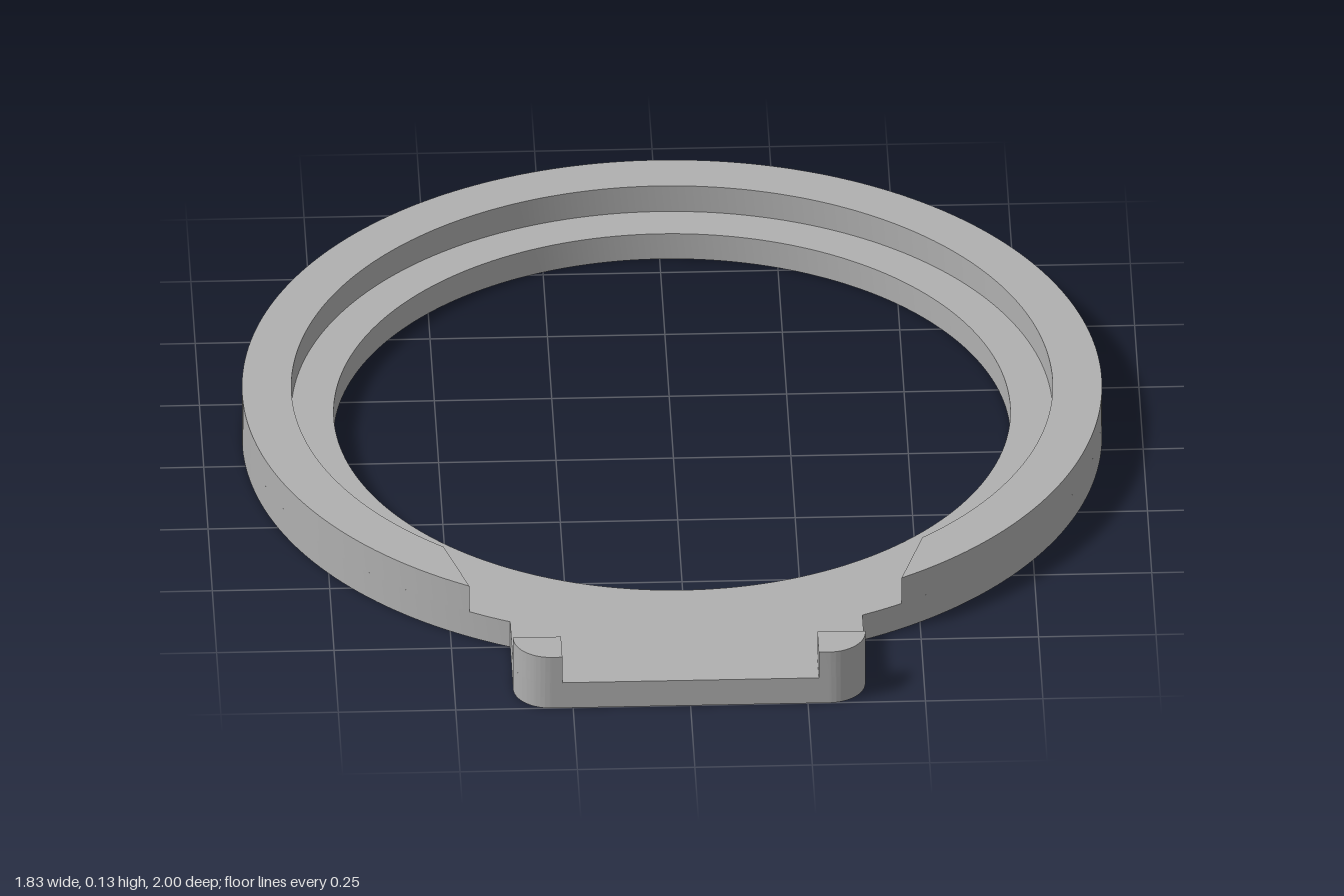
import * as THREE from 'three';
import { toCreasedNormals } from 'three/addons/utils/BufferGeometryUtils.js';

const CZ = -0.085;          // ring centre along z
const R_OUT = 0.915, R_RIM = 0.81, R_HOLE = 0.72;
const BASE_H = 0.063, FULL_H = 0.127;
const TAB_X = 0.375, TAB_Z = 1, CORNER = 0.08;

// Extrude a plan outline (shape y = world z) between two heights
function slab(shape, y0, y1, curveSegments) {
  const geo = new THREE.ExtrudeGeometry(shape, { depth: y1 - y0, bevelEnabled: false, curveSegments });
  geo.rotateX(Math.PI / 2);
  geo.translate(0, y1, 0);
  return toCreasedNormals(geo, Math.PI / 6);
}

export function createModel() {
  const group = new THREE.Group();
  const grey = new THREE.MeshStandardMaterial({ color: 0xb0b0b0 });
  grey.name = 'grey';
  const add = (name, geo) => {
    const mesh = new THREE.Mesh(geo, grey);
    mesh.name = name;
    group.add(mesh);
  };

  // Flat ring with a rounded front tab
  const a = Math.acos(TAB_X / R_OUT);
  const base = new THREE.Shape();
  base.absarc(0, CZ, R_OUT, Math.PI - a, 2 * Math.PI + a, false);
  base.lineTo(TAB_X, TAB_Z - CORNER);
  base.absarc(TAB_X - CORNER, TAB_Z - CORNER, CORNER, 0, Math.PI / 2, false);
  base.absarc(-TAB_X + CORNER, TAB_Z - CORNER, CORNER, Math.PI / 2, Math.PI, false);
  base.closePath();
  const hole = new THREE.Path();
  hole.absarc(0, CZ, R_HOLE, 0, Math.PI * 2, true);
  base.holes.push(hole);
  add('basePlate', slab(base, 0, BASE_H, 96));

  // Raised outer rim, open at the front with slanted ends
  const bOut = Math.acos(0.46 / R_OUT), bIn = Math.acos(0.51 / R_RIM);
  const rim = new THREE.Shape();
  rim.absarc(0, CZ, R_OUT, Math.PI - bOut, 2 * Math.PI + bOut, false);
  rim.absarc(0, CZ, R_RIM, 2 * Math.PI + bIn, Math.PI - bIn, true);
  rim.closePath();
  add('raisedRim', slab(rim, BASE_H, FULL_H, 96));

  // Small corner posts on the tab
  for (const s of [1, -1]) {
    const post = new THREE.Shape();
    post.moveTo(s * 0.273, 0.917);
    post.lineTo(s * TAB_X, 0.917);
    post.lineTo(s * TAB_X, TAB_Z - CORNER);
    post.absarc(s * (TAB_X - CORNER), TAB_Z - CORNER, CORNER, s > 0 ? 0 : Math.PI, Math.PI / 2, s < 0);
    post.lineTo(s * 0.273, TAB_Z);
    post.closePath();
    add(s > 0 ? 'leftCornerPost' : 'rightCornerPost', slab(post, BASE_H, FULL_H, 24));
  }
  return group;
}
